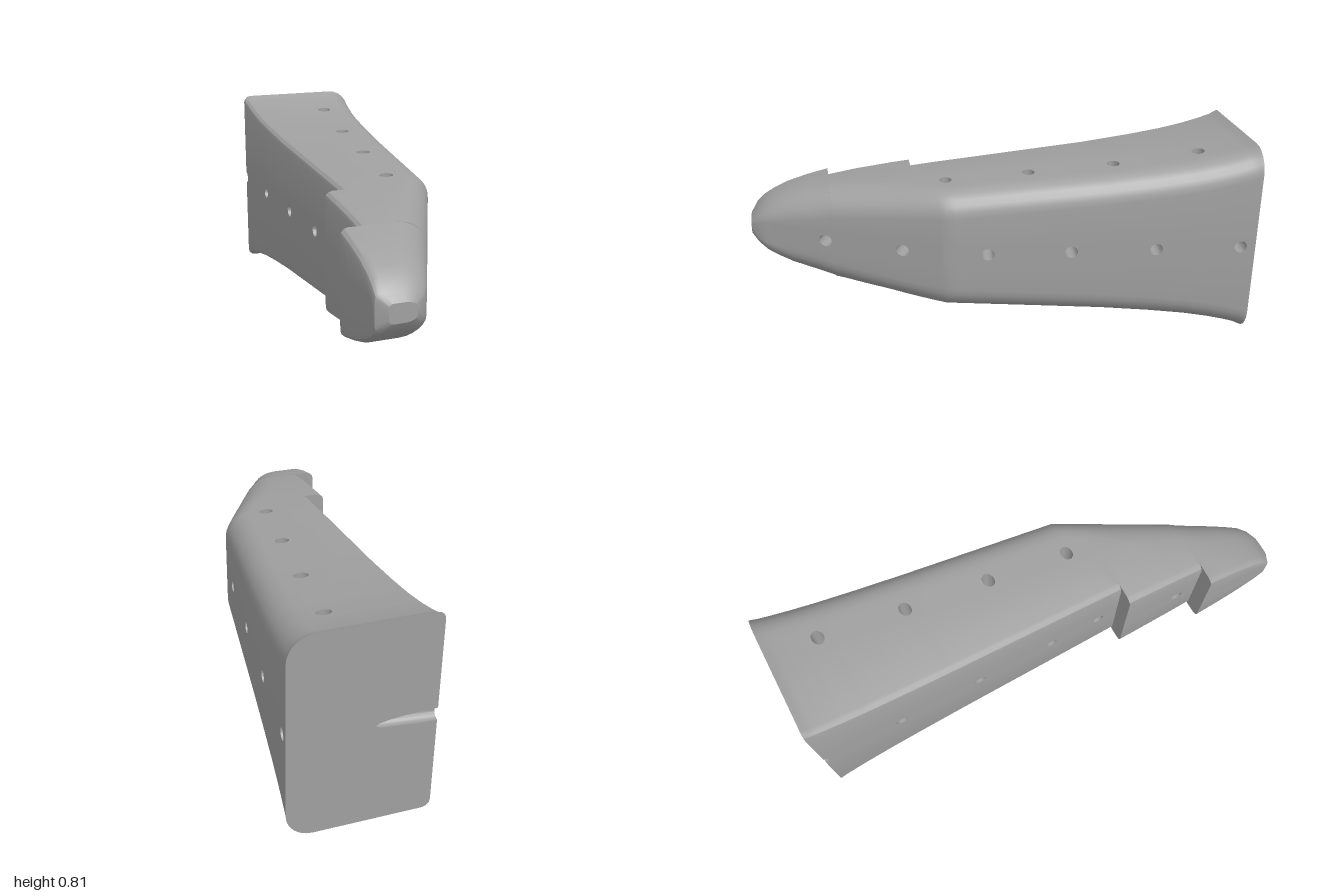
import * as THREE from 'three';
import { toCreasedNormals } from 'three/addons/utils/BufferGeometryUtils.js';

const V2 = (x, y) => new THREE.Vector2(x, y);
const V3 = (x, y, z) => new THREE.Vector3(x, y, z);
const MID = 0.415;   // height of the axis
const PAD = 0.045;   // half size of the panel cut around each hole
const STEPS = 20;    // sides of a hole

// Piecewise linear profile
function profile(points) {
  return (z) => {
    for (let i = 1; i < points.length; i++) {
      const [z0, a] = points[i - 1], [z1, b] = points[i];
      if (z <= z1) return a + (b - a) * (z - z0) / (z1 - z0);
    }
    return points[points.length - 1][1];
  };
}

const heights = [[-1, 0.405], [-0.97, 0.39], [-0.92, 0.375], [-0.85, 0.358], [-0.75, 0.339], [-0.6, 0.319],
  [-0.4, 0.298], [-0.2, 0.283], [0, 0.268], [0.23, 0.251], [0.4, 0.236], [0.55, 0.219], [0.67, 0.2],
  [0.76, 0.179], [0.84, 0.155], [0.9, 0.128], [0.94, 0.104], [0.975, 0.07], [1, 0.035]];
const H = profile(heights);
const xR = profile([[-1, 0.337], [0.23, 0.203], [0.94, -0.14], [0.975, -0.165], [1, -0.2]]);
const xL = (z) => z <= 0.33 ? -0.203 : z <= 0.67 ? -0.27 : z <= 0.975 ? -0.34 : -0.3;
const lineX = (z) => 0.14 - 0.109 * (z + 0.8);   // line of the vertical holes

// Hole positions along z on each face
const rightHoles = [0.7, 0.4, 0.07, -0.26, -0.6, -0.94];
const leftHoles = [0.58, 0.24, 0.02, -0.31, -0.66, -1];
const topHoles = [-0.8, -0.46, -0.12, 0.21];

// Cross-section: wide rounding on the outer side, narrow on the inner side
function section(z) {
  const h = H(z), r = xR(z), l = xL(z);
  const rx = Math.min(0.1 + 0.03 * THREE.MathUtils.smoothstep(z, 0.27, 0.5), 0.45 * (r - l));
  const ry = Math.min(0.1, h * 0.55), rl = Math.min(0.03, h * 0.4);
  const A = l + rl, B = r - rx, half = [[r, Math.min(PAD, h - ry)]];
  for (let i = 0; i <= 6; i++) {
    const t = i / 6 * Math.PI / 2;
    half.push([B + rx * Math.cos(t), h - ry + ry * Math.sin(t)]);
  }
  for (const s of [PAD, -PAD]) half.push([THREE.MathUtils.clamp(lineX(z) + s, A, B), h]);
  for (let i = 0; i <= 3; i++) {
    const t = i / 3 * Math.PI / 2;
    half.push([A - rl * Math.sin(t), h - rl + rl * Math.cos(t)]);
  }
  half.push([l, Math.min(PAD, h - rl)]);
  const lower = half.map(([x, y]) => [x, -y]).reverse();
  return [...half, ...lower].map(([x, y]) => V3(x, MID + y, z));
}

// Faces that carry holes: section column, hole list, mapping and outward direction
const faces = [
  { col: 29, holes: rightHoles, dir: V3(1, 0, 0.1), rz: 0.025, rb: 0.025, map: (z, b) => V3(xR(z), MID + b, z) },
  { col: 14, holes: leftHoles, dir: V3(-1, 0, 0), rz: 0.025, rb: 0.025, map: (z, b) => V3(xL(z), MID + b, z) },
  { col: 8, holes: topHoles, dir: V3(0, 1, 0), rz: 0.024, rb: 0.029, map: (z, b) => V3(lineX(z) + b, MID + H(z), z) },
  { col: 20, holes: topHoles, dir: V3(0, -1, 0), rz: 0.024, rb: 0.029, map: (z, b) => V3(lineX(z) + b, MID - H(z), z) },
];

// Adds a triangle, turned to face dir when one is given
function tri(out, a, b, c, dir) {
  if (dir) {
    const n = b.clone().sub(a).cross(c.clone().sub(a));
    if (n.dot(dir) < 0) [b, c] = [c, b];
  }
  for (const p of [a, b, c]) out.push(p.x, p.y, p.z);
}

// Flat panel from an outline with holes
function panel(out, outline, holes, map, dir) {
  const all = [...outline, ...holes.flat()].map((p) => map(p.x, p.y));
  for (const [a, b, c] of THREE.ShapeUtils.triangulateShape(outline, holes)) tri(out, all[a], all[b], all[c], dir);
}

const ring = (f, z) => Array.from({ length: STEPS }, (_, i) => {
  const t = i / STEPS * Math.PI * 2;
  return V2(z + f.rz * Math.cos(t), f.rb * Math.sin(t));
});

function toMesh(list, material, name) {
  const g = new THREE.BufferGeometry();
  g.setAttribute('position', new THREE.Float32BufferAttribute(list, 3));
  const mesh = new THREE.Mesh(toCreasedNormals(g, 0.5), material);
  mesh.name = name;
  return mesh;
}

export function createModel() {
  const group = new THREE.Group();
  group.name = 'taperedBracket';
  const grey = new THREE.MeshStandardMaterial({ color: 0xa0a0a0, side: THREE.DoubleSide });
  grey.name = 'grey';
  const shell = [], bores = [], ends = [];

  // Lofted shell, leaving gaps for the hole panels
  let zs = [...heights.map((p) => p[0]), 0.33, 0.3301, 0.6701];
  for (const f of faces) for (const h of f.holes) zs.push(h - PAD, h + PAD);
  zs = [...new Set(zs.map((z) => +z.toFixed(4)))].filter((z) => z >= -1 && z <= 1).sort((a, b) => a - b);
  const rows = zs.map(section), n = rows[0].length;
  for (let i = 0; i < rows.length - 1; i++) {
    const zm = (zs[i] + zs[i + 1]) / 2;
    for (let j = 0; j < n; j++) {
      if (faces.some((f) => f.col === j && f.holes.some((h) => Math.abs(zm - h) < PAD))) continue;
      const k = (j + 1) % n;
      tri(shell, rows[i][j], rows[i][k], rows[i + 1][k]);
      tri(shell, rows[i][j], rows[i + 1][k], rows[i + 1][j]);
    }
  }

  // Panels around the holes
  for (const f of faces) for (const z of f.holes) {
    if (z === -1) {
      // Half hole where the last bore breaks through the back edge
      const outline = [V2(-1, PAD), V2(-1 + PAD, PAD), V2(-1 + PAD, -PAD), V2(-1, -PAD)];
      for (let i = 0; i <= STEPS / 2; i++) {
        const t = (i / STEPS - 0.25) * Math.PI * 2;
        outline.push(V2(-1 + f.rz * Math.cos(t), f.rb * Math.sin(t)));
      }
      panel(shell, outline, [], f.map, f.dir);
    } else {
      const box = [V2(z - PAD, -PAD), V2(z + PAD, -PAD), V2(z + PAD, PAD), V2(z - PAD, PAD)];
      panel(shell, box, [ring(f, z)], f.map, f.dir);
    }
  }

  // Bores joining opposite holes, cut off at the back plane
  const notch = [];
  const bore = (f, z0, g, z1) => {
    const a = ring(f, z0).map((p) => f.map(p.x, p.y));
    const b = ring(g, z1).map((p, i) => {
      const e = g.map(p.x, p.y);
      if (e.z >= -1.0001) return e;
      const cut = a[i].clone().lerp(e, (a[i].z + 1) / (a[i].z - e.z));
      notch.push(V2(cut.x, cut.y));
      return cut;
    });
    const centre = f.map(z0, 0);
    for (let i = 0; i < STEPS; i++) {
      const k = (i + 1) % STEPS, inward = centre.clone().sub(a[i].clone().add(a[k]).multiplyScalar(0.5));
      tri(bores, a[i], a[k], b[k], inward);
      tri(bores, a[i], b[k], b[i], inward);
    }
  };
  rightHoles.forEach((z, i) => bore(faces[0], z, faces[1], leftHoles[i]));
  topHoles.forEach((z) => bore(faces[2], z, faces[3], z));

  // Back plate with its groove, and the nose tip
  const flat = (row) => row.map((p) => V2(p.x, p.y));
  const back = flat(rows[0]);
  back.splice(15, 0, V2(xL(-1), MID + 0.025), ...notch, V2(xL(-1), MID - 0.025));
  panel(ends, back, [], (x, y) => V3(x, y, -1), V3(0, 0, -1));
  panel(ends, flat(rows[rows.length - 1]), [], (x, y) => V3(x, y, 1), V3(0, 0, 1));

  group.add(toMesh(shell, grey, 'shell'), toMesh(bores, grey, 'bores'), toMesh(ends, grey, 'endPlates'));
  return group;
}
